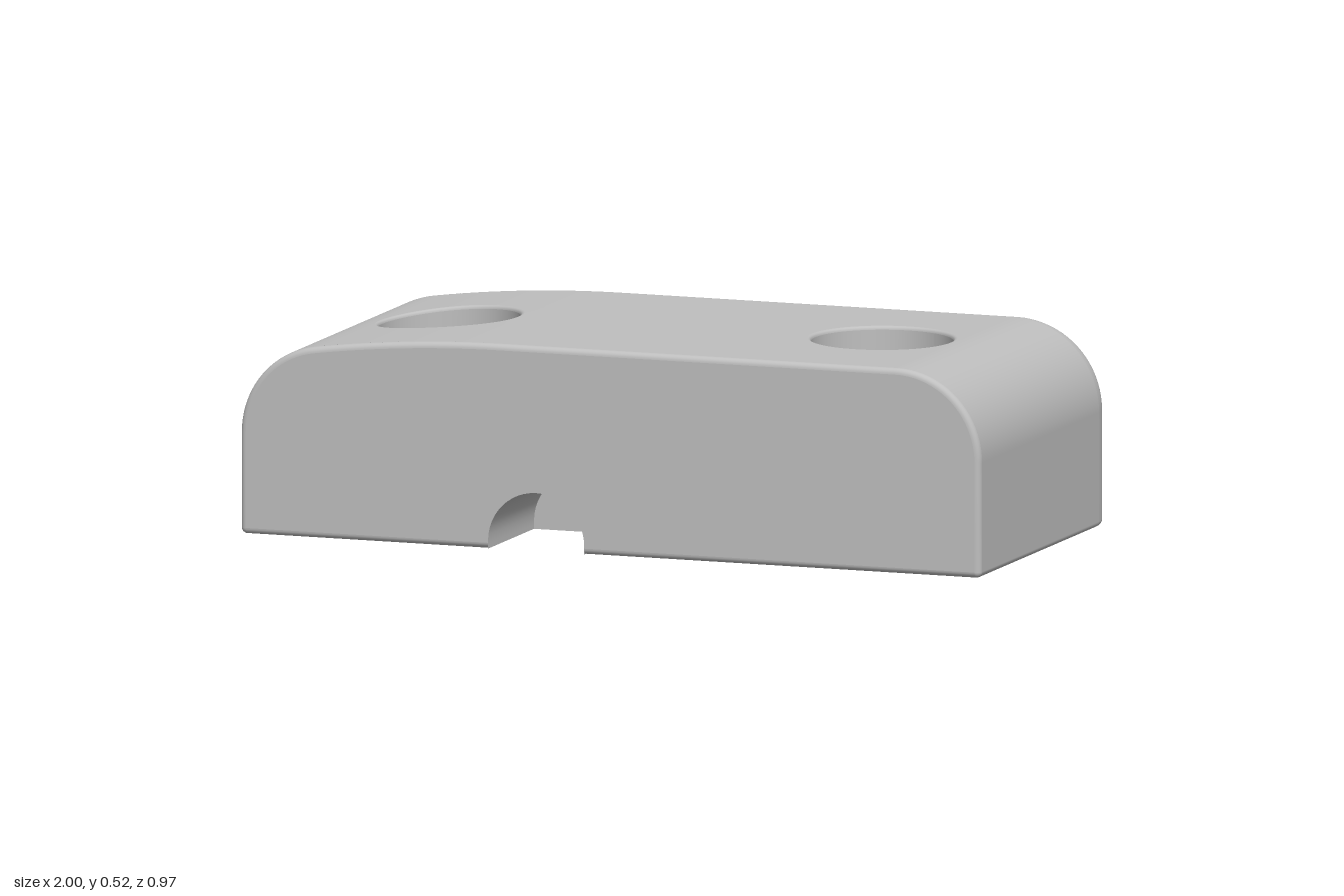
import * as THREE from 'three';

const TOP = 0.525, Z0 = -0.37, Z1 = 0.47;      // crown height, span between edge fillets
const RB = 0.115, RF = 0.015;                  // back and front edge radii
const ARC = 0.23, SLOPE = Math.atan(0.146);    // shoulder radius, tilt where the crown ends
const XR = 0.77, XL = -0.77 - ARC * Math.sin(SLOPE);
const H = Math.PI / 2;

// crown height: flat, dropping gently towards the right end
const crown = x => (x > -0.3 ? TOP : TOP - 0.145 * (x + 0.3) ** 2);

// surface from a rule; the front is du x dv
function grid(nu, nv, f) {
  const pos = [], idx = [];
  for (let j = 0; j <= nv; j++) for (let i = 0; i <= nu; i++) pos.push(...f(i, j));
  for (let j = 0; j < nv; j++) for (let i = 0; i < nu; i++) {
    const a = j * (nu + 1) + i, b = a + 1, d = a + nu + 1, c = d + 1;
    idx.push(a, b, c, a, c, d);
  }
  const g = new THREE.BufferGeometry();
  g.setAttribute('position', new THREE.Float32BufferAttribute(pos, 3));
  g.setIndex(idx);
  g.computeVertexNormals();
  return g;
}

// end profile from the left foot over the crown to the right foot, with normals
function makeProfile() {
  const p = [];
  const foot = (s, a) => p.push({ x: s, y: RF * (1 - Math.cos(a)), nx: s, ny: 0, e: RF * (1 - Math.sin(a)) });
  const arc = (cx, cy, a) => p.push({
    x: cx + ARC * Math.cos(a), y: cy + ARC * Math.sin(a), nx: Math.cos(a), ny: Math.sin(a), e: 0,
  });
  for (let i = 0; i <= 6; i++) foot(1, (i / 6) * H);
  for (let i = 0; i <= 20; i++) arc(XR, TOP - ARC, (i / 20) * H);
  const topStart = p.length - 1;
  for (let i = 1; i < 40; i++) {
    const x = XR + (XL - XR) * i / 40, m = x > -0.3 ? 0 : -0.29 * (x + 0.3), l = Math.hypot(m, 1);
    p.push({ x, y: crown(x), nx: -m / l, ny: 1 / l, e: 0 });
  }
  const topEnd = p.length;
  const cy = crown(XL) - ARC * Math.cos(SLOPE);
  for (let i = 0; i <= 20; i++) arc(-0.77, cy, H + SLOPE + (i / 20) * (H - SLOPE));
  for (let i = 6; i >= 0; i--) foot(-1, (i / 6) * H);
  return { p, topStart, topEnd };
}

// profile point swept round an edge of radius r; phi 0 = side, 90 degrees = end face
function swept(q, r, phi, zc, dir) {
  const k = r - (r - q.e) * Math.cos(phi);
  return [q.x - q.nx * k, q.y - q.ny * k, zc + dir * (r - q.e) * Math.sin(phi)];
}

export function createModel() {
  const group = new THREE.Group();
  const grey = new THREE.MeshStandardMaterial({ color: 0xbfbfbf, side: THREE.DoubleSide });
  grey.name = 'light grey';
  const add = (name, geometry) => {
    const m = new THREE.Mesh(geometry, grey);
    m.name = name;
    group.add(m);
    return m;
  };
  const { p, topStart, topEnd } = makeProfile();
  const last = p.length - 1;

  // rounded edges and side walls
  add('backEdge', grid(last, 14, (i, j) => swept(p[i], RB, H * (1 - j / 14), Z0, -1)));
  add('frontEdge', grid(last, 6, (i, j) => swept(p[i], RF, H * j / 6, Z1, 1)));
  const wall = (name, a, b) => add(name, grid(b - a, 1, (i, j) => swept(p[a + i], RF, 0, j ? Z1 : Z0, 1)));
  wall('leftWall', 0, topStart);
  wall('rightWall', topEnd, last);

  // cable notch outline, from its left foot over the arch
  const notch = [[-0.07, 0], [-0.07, 0.01]];
  for (let i = 0; i <= 24; i++) {
    const a = Math.PI * i / 24;
    notch.push([-0.2 + 0.13 * Math.cos(a), 0.02 + 0.13 * Math.sin(a)]);
  }
  notch.push([-0.33, 0.01], [-0.33, 0]);
  const notchEnd = 0.155;
  add('notchVault', grid(notch.length - 1, 1, (i, j) => [...notch[i], j ? notchEnd : Z1 + RF]));
  const shapeOf = pts => new THREE.Shape(pts.map(q => new THREE.Vector2(q[0], q[1])));
  add('notchEndWall', new THREE.ShapeGeometry(shapeOf(notch))).position.z = notchEnd;

  // flat front and back faces
  const flat = p.filter(q => q.e < 1e-6);
  const face = r => flat.map(q => [q.x - q.nx * r, q.y - q.ny * r]);
  const arch = notch.slice(1, -1).map(([x, y]) => [x, Math.max(y, RF)]).reverse();
  add('frontFace', new THREE.ShapeGeometry(shapeOf([...face(RF), ...arch]))).position.z = Z1 + RF;
  const back = new THREE.ShapeGeometry(shapeOf(face(RB).map(([x, y]) => [-x, y])));
  add('backFace', back.rotateY(Math.PI)).position.z = Z0 - RB;

  // small rounding along the bottom edges of the end faces
  const bottomEdge = (name, xa, xb, z, dir) => add(name, grid(1, 6, (i, j) => {
    const a = H * j / 6;
    return [i ? xb : xa, RF * (1 - Math.cos(a)), z + dir * RF * Math.sin(a)];
  }));
  bottomEdge('frontBottomEdge', -1 + RF, -0.33, Z1, 1);
  bottomEdge('frontBottomEdge', -0.07, 1 - RF, Z1, 1);
  bottomEdge('backBottomEdge', 1 - RB, RB - 1, Z0 - RB + RF, -1);

  // underside with notch cut-out and screw holes
  const holes = [
    { x: -0.6, x0: XL, x1: -0.015, side: 'right' },
    { x: 0.57, x0: -0.015, x1: XR, side: 'left' },
  ];
  const HZ = 0.045, SCREW = 0.105, BORE = 0.181, RIM = 0.19, FLOOR = 0.32;
  const w = 1 - RF, c = RB - RF;
  const base = new THREE.Shape();
  base.moveTo(-w, Z0);
  base.absarc(-w + c, Z0, c, Math.PI, 1.5 * Math.PI);
  base.absarc(w - c, Z0, c, 1.5 * Math.PI, 2 * Math.PI);
  for (const [x, z] of [[w, Z1], [-0.07, Z1], [-0.07, notchEnd], [-0.33, notchEnd], [-0.33, Z1], [-w, Z1]]) base.lineTo(x, z);
  for (const h of holes) base.holes.push(new THREE.Path().absarc(h.x, HZ, SCREW, 0, 2 * Math.PI, true));
  add('underside', new THREE.ShapeGeometry(base, 32).rotateX(H));

  // crown panels, each surrounding one counterbored screw hole
  for (const h of holes) {
    const angles = Array.from({ length: 97 }, (_, i) => 2 * Math.PI * i / 96);
    for (const x of [h.x0, h.x1]) for (const z of [Z0, Z1]) {
      angles.push((Math.atan2(z - HZ, x - h.x) + 2 * Math.PI) % (2 * Math.PI));
    }
    angles.sort((a, b) => a - b);
    const n = angles.length - 1;
    const at = (a, r) => [h.x + r * Math.cos(a), HZ + r * Math.sin(a)];
    // distance from the hole centre to the panel border
    const reach = a => {
      const dx = Math.cos(a), dz = Math.sin(a);
      const toX = dx > 0 ? h.x1 - h.x : h.x - h.x0, toZ = dz > 0 ? Z1 - HZ : HZ - Z0;
      return Math.min(toX / Math.max(Math.abs(dx), 1e-6), toZ / Math.max(Math.abs(dz), 1e-6));
    };
    add(h.side + 'Crown', grid(n, 12, (i, j) => {
      const [x, z] = at(angles[i], RIM + (reach(angles[i]) - RIM) * j / 12);
      return [x, crown(x), z];
    }));
    const ring = (name, steps, radius, height) => add(h.side + name, grid(n, steps, (i, j) => {
      const [x, z] = at(angles[i], radius(j / steps));
      return [x, height(j / steps, x), z];
    }));
    const lip = RIM - BORE;
    ring('HoleRim', 4, t => RIM - lip * Math.cos(t * H), (t, x) => crown(x) - lip * (1 - Math.sin(t * H)));
    ring('Counterbore', 1, () => BORE, (t, x) => (t ? crown(x) - lip : FLOOR));
    ring('CounterboreFloor', 1, t => (t ? BORE : SCREW), () => FLOOR);
    ring('ScrewHole', 1, () => SCREW, t => t * FLOOR);
  }
  return group;
}
